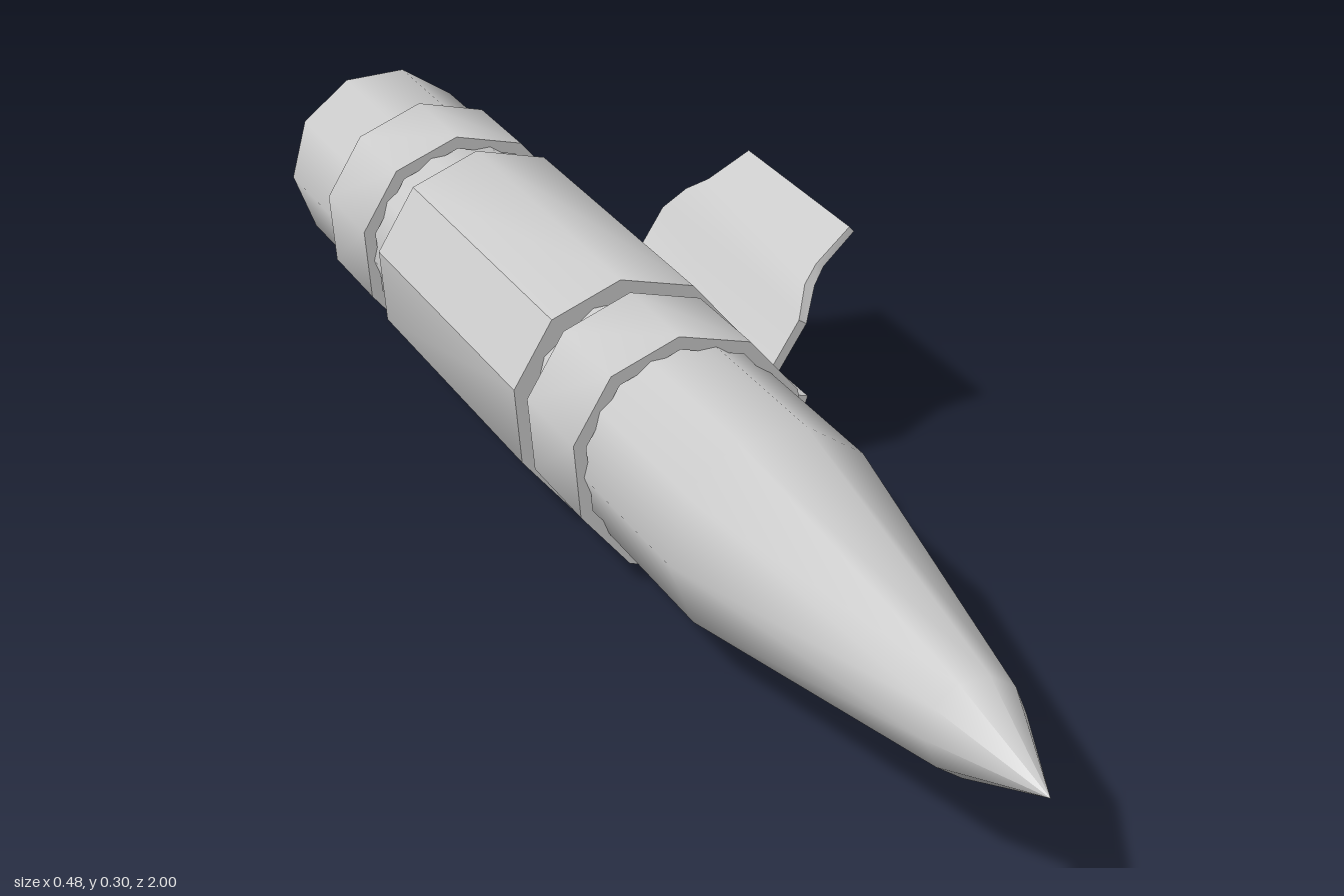
import * as THREE from 'three';
import { toCreasedNormals } from 'three/addons/utils/BufferGeometryUtils.js';

const SIDES = 10;
const STEP = (Math.PI * 2) / SIDES;
const CX = -0.092, CY = 0.1535;
const BODY_R = 0.131;
const material = new THREE.MeshStandardMaterial({ color: 0xcccccc });
const deg = THREE.MathUtils.degToRad;

function addMesh(group, name, geometry, crease) {
  const mesh = new THREE.Mesh(toCreasedNormals(geometry, crease), material);
  mesh.name = name;
  group.add(mesh);
}

// Turned part along z; profile is [radius, z] from back to front, angle is that of the first corner in the xy plane
function turned(profile, angle, sides = SIDES) {
  const points = profile.map(([r, z]) => new THREE.Vector2(r, z));
  return new THREE.LatheGeometry(points, sides, angle + Math.PI / 2, sides * STEP)
    .rotateX(Math.PI / 2)
    .translate(CX, CY, 0);
}

const band = (r, back, front) => [[BODY_R, back], [r, back], [r, front], [BODY_R, front]];

// Thin plate through stations [topX, topY, bottomX, bottomY, frontZ, backZ]
function plate(stations) {
  const positions = [], index = [];
  stations.forEach(([tx, ty, bx, by, f, b]) => {
    positions.push(tx, ty, f, tx, ty, b, bx, by, b, bx, by, f);
  });
  const quad = (a, b, c, d) => index.push(a, b, c, a, c, d);
  for (let i = 0; i < stations.length - 1; i++) {
    for (let k = 0; k < 4; k++) {
      const n = (k + 1) % 4, s = i * 4;
      quad(s + k, s + 4 + k, s + 4 + n, s + n);
    }
  }
  const e = (stations.length - 1) * 4;
  quad(0, 1, 2, 3);
  quad(e + 3, e + 2, e + 1, e);
  const geometry = new THREE.BufferGeometry();
  geometry.setAttribute('position', new THREE.Float32BufferAttribute(positions, 3));
  geometry.setIndex(index);
  return geometry;
}

export function createModel() {
  const group = new THREE.Group();
  group.name = 'pointedTube';

  // Shaft with tapered nose, sharp tip and flat rear end
  addMesh(group, 'body', turned(
    [[0, -1], [BODY_R, -1], [BODY_R, 0.36], [0.056, 0.842], [0, 1]], deg(3.5)), 0.8);

  // Narrow rings either side of the sleeve
  const corner = deg(-13);
  addMesh(group, 'frontRing', turned(band(0.147, -0.04, 0.11), corner), 0.8);
  addMesh(group, 'rearRing', turned(band(0.147, -0.795, -0.645), corner), 0.8);

  // Long sleeve: smooth all round apart from one flat panel
  const sleeve = band(0.153, -0.567, -0.068);
  const panel = deg(167);
  addMesh(group, 'sleeve', turned(sleeve, panel, SIDES - 1), 0.8);
  addMesh(group, 'sleevePanel', turned(sleeve, panel - STEP, 1), 0.8);

  // Bent upper clip plate with narrowed outer edge
  addMesh(group, 'upperClip', plate([
    [0.064, 0.115, 0.069, 0.108, -0.1, -0.535],
    [0.097, 0.139, 0.106, 0.132, -0.1, -0.535],
    [0.139, 0.205, 0.149, 0.199, -0.1, -0.535],
    [0.160, 0.238, 0.173, 0.234, -0.13, -0.505],
    [0.184, 0.254, 0.194, 0.249, -0.15, -0.487],
    [0.235, 0.290, 0.241, 0.283, -0.164, -0.474],
  ]), 0.6);

  // Flat lower clip plate
  addMesh(group, 'lowerClip', plate([
    [0.052, 0.127, 0.050, 0.118, -0.103, -0.532],
    [0.153, 0.102, 0.150, 0.093, -0.103, -0.532],
  ]), 0.6);

  return group;
}
